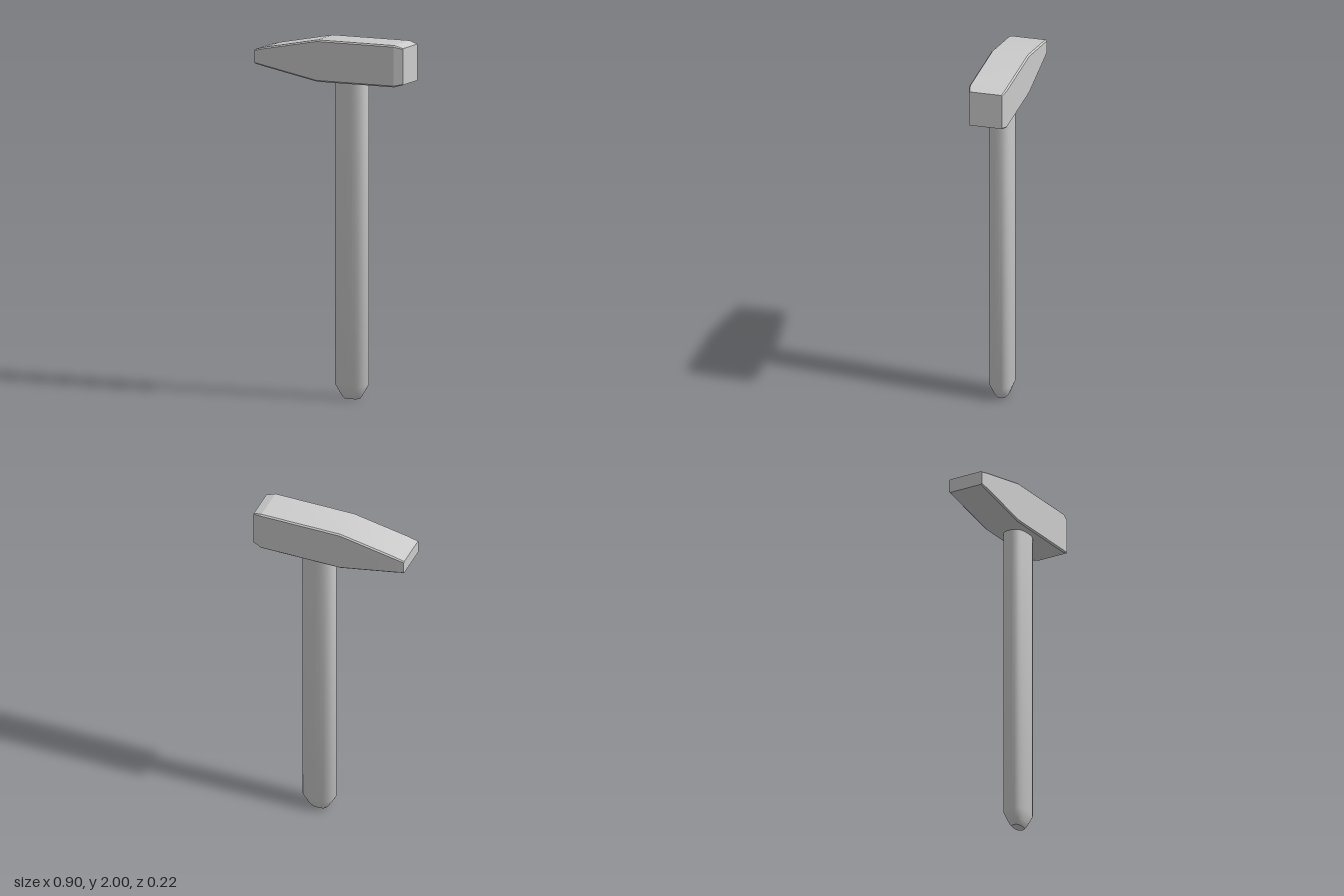
import * as THREE from 'three';
import { toCreasedNormals } from 'three/addons/utils/BufferGeometryUtils.js';

// Skin a closed solid through a list of rings and cap both ends
function loft(rings, crease) {
  const n = rings[0].length;
  const pos = [];
  const tri = (...pts) => pts.forEach((p) => pos.push(p.x, p.y, p.z));
  const centre = (ring) =>
    ring.reduce((sum, p) => sum.add(p), new THREE.Vector3()).divideScalar(n);
  for (let j = 0; j < rings.length - 1; j++) {
    for (let i = 0; i < n; i++) {
      const k = (i + 1) % n;
      const [a, b, c, d] = [rings[j][i], rings[j + 1][i], rings[j][k], rings[j + 1][k]];
      tri(a, b, c);
      tri(c, b, d);
    }
  }
  const first = rings[0];
  const last = rings[rings.length - 1];
  const c0 = centre(first);
  const c1 = centre(last);
  for (let i = 0; i < n; i++) {
    const k = (i + 1) % n;
    tri(c0, first[i], first[k]);
    tri(c1, last[k], last[i]);
  }
  const geometry = new THREE.BufferGeometry();
  geometry.setAttribute('position', new THREE.Float32BufferAttribute(pos, 3));
  return toCreasedNormals(geometry, crease);
}

// Rectangle with small chamfered corners, standing across the x axis
function headRing(x, y0, y1, w, c) {
  return [
    [w, y0 + c], [w, y1 - c], [w - c, y1], [c - w, y1],
    [-w, y1 - c], [-w, y0 + c], [c - w, y0], [w - c, y0],
  ].map(([z, y]) => new THREE.Vector3(x, y, z));
}

// Slightly squared oval lying across the y axis
function handleRing(y, rx, rz, sides = 32) {
  const bulge = (v) => Math.sign(v) * Math.abs(v) ** 0.8;
  return Array.from({ length: sides }, (_, i) => {
    const a = (i / sides) * Math.PI * 2;
    return new THREE.Vector3(0.095 + rx * bulge(Math.cos(a)), y, rz * bulge(Math.sin(a)));
  });
}

export function createModel() {
  const group = new THREE.Group();
  const material = new THREE.MeshStandardMaterial({ color: 0xcccccc });
  const add = (name, geometry) => {
    const mesh = new THREE.Mesh(geometry, material);
    mesh.name = name;
    group.add(mesh);
  };

  // Head: wedge-shaped peen at -x, square bevelled striking face at +x
  add('hammerHead', loft([
    headRing(-0.45, 1.843, 1.922, 0.106, 0.006),
    headRing(-0.39, 1.83, 1.938, 0.108, 0.008),
    headRing(-0.07, 1.767, 2, 0.108, 0.008),
    headRing(0.4, 1.767, 2, 0.108, 0.008),
    headRing(0.45, 1.782, 1.985, 0.094, 0.004),
  ], 0.2));

  // Handle: long oval shaft with a tapered, softly rounded butt
  add('handle', loft([
    handleRing(0, 0.045, 0.027),
    handleRing(0.012, 0.055, 0.037),
    handleRing(0.03, 0.066, 0.046),
    handleRing(0.08, 0.095, 0.066),
    handleRing(1.8, 0.095, 0.066),
  ], 0.6));

  return group;
}
